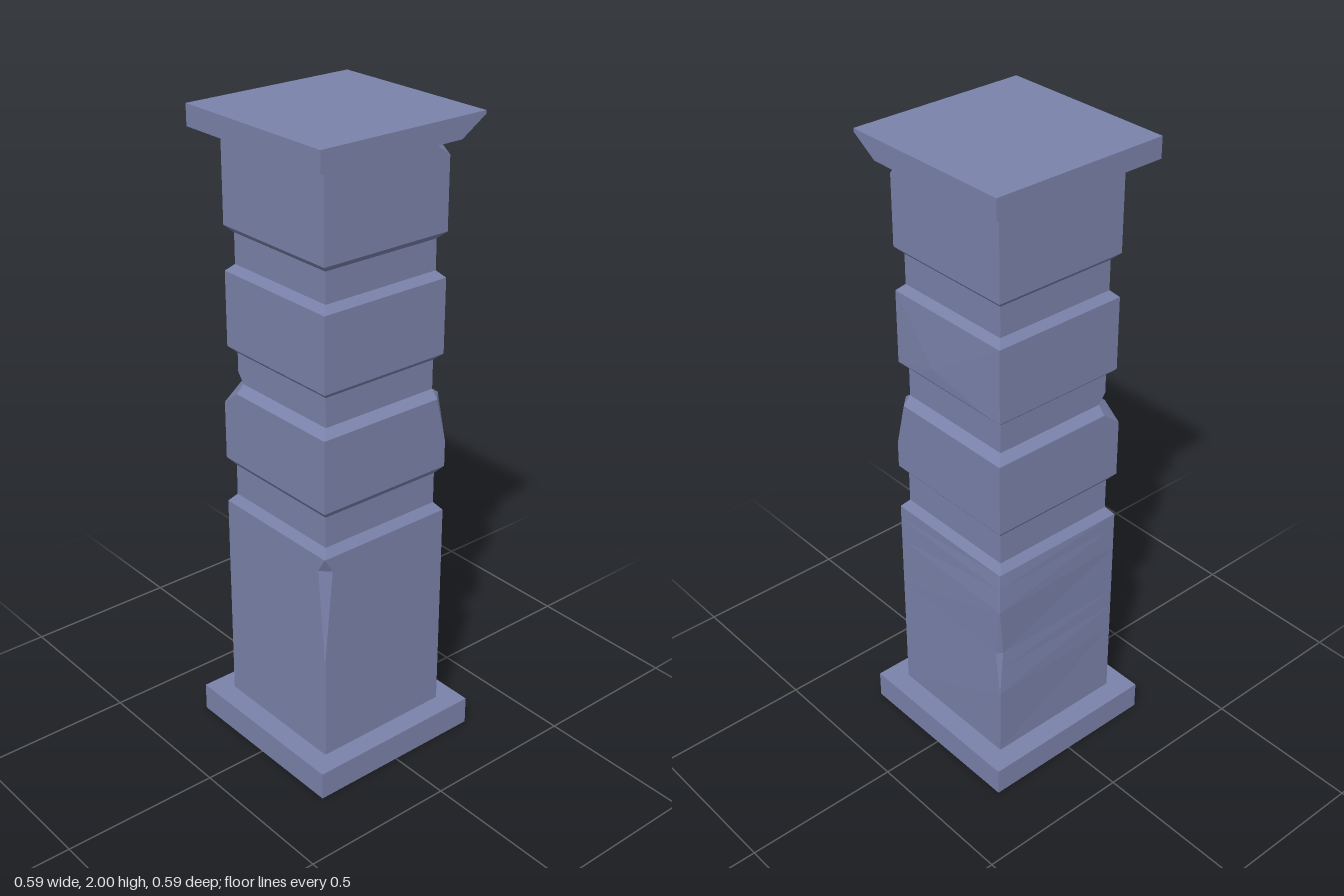
import * as THREE from 'three';
import { ConvexGeometry } from 'three/addons/geometries/ConvexGeometry.js';

const stone = new THREE.MeshStandardMaterial({ color: 0x7a82aa, flatShading: true });

// Square block from [y, halfWidth] rings.
// A chip { ring, sx, sz, points } swaps one ring corner for the given points.
function block(name, rings, chips = [], extra = []) {
  const pts = extra.map((p) => new THREE.Vector3(...p));
  rings.forEach(([y, h], i) => {
    for (const sx of [1, -1]) for (const sz of [1, -1]) {
      const chip = chips.find((c) => c.ring === i && c.sx === sx && c.sz === sz);
      const corner = chip ? chip.points : [[h, y, h]];
      corner.forEach(([x, py, z]) => pts.push(new THREE.Vector3(sx * x, py, sz * z)));
    }
  });
  const mesh = new THREE.Mesh(new ConvexGeometry(pts), stone);
  mesh.name = name;
  return mesh;
}

// Corner broken off at height y: cut back from h to a on both faces, down or up to yTip
const chip = (ring, sx, sz, y, h, a, yTip) => ({
  ring, sx, sz,
  points: [[a, y, h], [h, y, a], ...(yTip === undefined ? [] : [[h, yTip, h]])],
});

// Tall lower shaft: [y, half width, worn corner offset, worn corner depth, chipped corner depth]
function shaft() {
  const levels = [
    [0.09, 0.23, 0, 0.001, 0.001], [0.33, 0.23, 0.007, 0.001, 0.001],
    [0.42, 0.23, 0.006, 0.012, 0.001], [0.48, 0.23, 0.006, 0.02, 0.006],
    [0.65, 0.23, 0.009, 0.001, 0.022], [0.73, 0.23, 0.004, 0.001, 0.03],
    [0.778, 0.23, 0, 0.001, 0.001], [0.803, 0.209, 0, 0.001, 0.001],
  ];
  const rings = levels.map(([y, h, d, e, c]) => [
    [h, y, h],
    [h + d, y, -h - d + e], [h + d - e, y, -h - d + 0.4 * e],
    [-h, y, -h],
    [-h, y, h - c], [-h + c, y, h],
  ]);
  const pos = [];
  for (let i = 0; i < rings.length - 1; i++) {
    const lo = rings[i], hi = rings[i + 1], n = lo.length;
    for (let j = 0; j < n; j++) {
      const k = (j + 1) % n;
      pos.push(...lo[j], ...lo[k], ...hi[k], ...lo[j], ...hi[k], ...hi[j]);
    }
  }
  const geo = new THREE.BufferGeometry();
  geo.setAttribute('position', new THREE.Float32BufferAttribute(pos, 3));
  geo.computeVertexNormals();
  const mesh = new THREE.Mesh(geo, stone);
  mesh.name = 'lowerShaft';
  return mesh;
}

export function createModel() {
  const pillar = new THREE.Group();
  pillar.name = 'pillar';
  pillar.add(
    block('basePlate', [[0, 0.297], [0.09, 0.297]]),
    shaft(),
    block('lowerNeck', [[0.803, 0.209], [0.902, 0.209]]),
    // Lower band, broken at two opposite top corners
    block('lowerBand', [[0.902, 0.209], [0.927, 0.23], [1.157, 0.23], [1.178, 0.2]], [
      chip(2, 1, 1, 1.157, 0.23, 0.193, 1.01),
      chip(2, -1, -1, 1.157, 0.23, 0.17, 1.11),
      chip(3, -1, -1, 1.178, 0.2, 0.176),
    ]),
    block('middleNeck', [[1.178, 0.2], [1.27, 0.2]], [chip(0, -1, -1, 1.178, 0.2, 0.176, 1.21)]),
    // Middle band with a slight swelling low on one face
    block('middleBand', [[1.27, 0.2], [1.29, 0.221], [1.522, 0.221], [1.543, 0.2]], [],
      [[0.2275, 1.34, 0.055], [0.2245, 1.297, 0.12], [0.2235, 1.294, -0.16]]),
    block('upperNeck', [[1.543, 0.2], [1.637, 0.2]]),
    block('upperBand', [[1.637, 0.2], [1.658, 0.221], [1.936, 0.221]],
      [chip(2, 1, 1, 1.936, 0.221, 0.135, 1.876)]),
    // Cap slab, broken under one corner
    block('capSlab', [[1.936, 0.286], [2, 0.286]], [chip(0, 1, 1, 1.936, 0.286, 0.2, 1.99)]),
  );
  return pillar;
}
